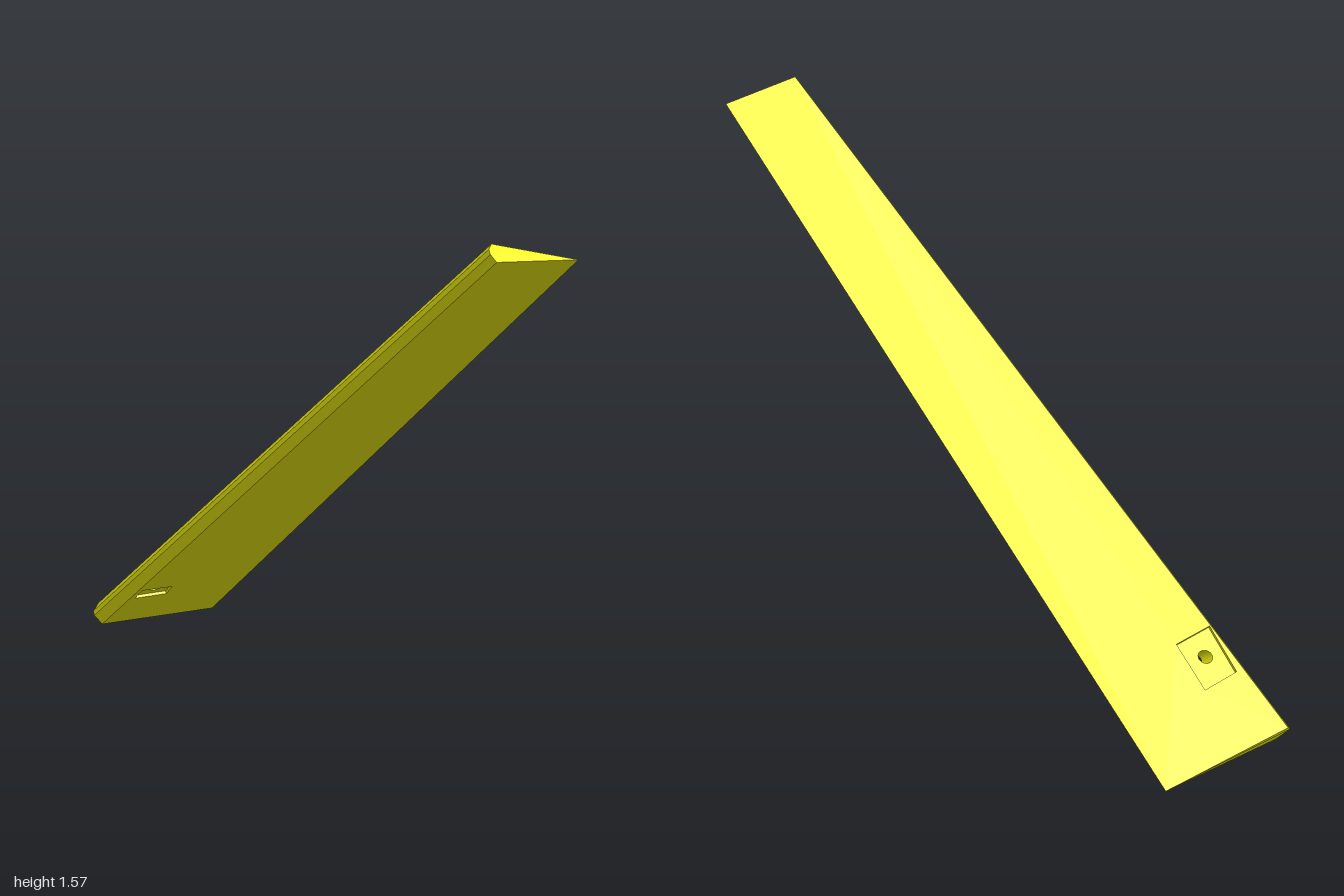
import * as THREE from 'three';

// Cross-sections, in order: trailing edge, upper shoulder, two nose edges, lower shoulder
const v = (x, y, z) => new THREE.Vector3(x, y, z);
const root = [v(0.003, 0, -1), v(-0.404, 0.07, -0.979), v(-0.426, 0.05, -0.96), v(-0.426, 0.038, -0.948), v(-0.403, 0.01, -0.93)];
const tip = [v(0.423, 1.515, 0.932), v(0.176, 1.571, 0.965), v(0.163, 1.561, 0.981), v(0.163, 1.55, 0.991), v(0.176, 1.532, 1)];

// Point on the upper (1) or lower (4) face: a runs along the chord, b along the span
function facePoint(side, a, b, depth = 0) {
  const p = root[side].clone().lerp(root[0], a).lerp(tip[side].clone().lerp(tip[0], a), b);
  const n = root[0].clone().sub(root[side]).cross(tip[side].clone().sub(root[side])).normalize();
  return p.addScaledVector(n, side === 1 ? depth : -depth);
}

const pts = (list) => list.map(([a, b]) => new THREE.Vector2(a, b));
const onFace = (side, outline, depth) => outline.map((p) => facePoint(side, p.x, p.y, depth));

// Circle of the bolt hole in face coordinates
const circle = (a, b) => Array.from({ length: 24 }, (_, i) => {
  const t = (i / 24) * Math.PI * 2;
  return new THREE.Vector2(a + 0.052 * Math.cos(t), b + 0.0079 * Math.sin(t));
});

function toMesh(name, triangles, material) {
  const geometry = new THREE.BufferGeometry().setFromPoints(triangles);
  geometry.computeVertexNormals();
  const mesh = new THREE.Mesh(geometry, material);
  mesh.name = name;
  return mesh;
}

const quad = (a, b, c, d) => [a, b, c, a, c, d];

// Flat outline with one hole, laid on a blade face
function patch(side, outline, hole, depth = 0) {
  const shape = new THREE.Shape(outline);
  shape.holes.push(new THREE.Path(hole));
  const flat = new THREE.ShapeGeometry(shape).toNonIndexed().attributes.position;
  const out = [];
  for (let i = 0; i < flat.count; i++) out.push(facePoint(side, flat.getX(i), flat.getY(i), depth));
  if (side === 1) out.reverse();
  return out;
}

// Inward-facing wall between two matching loops
function wall(upper, lower) {
  return upper.flatMap((p, i) => {
    const j = (i + 1) % upper.length;
    return quad(p, lower[i], lower[j], upper[j]);
  });
}

export function createModel() {
  const group = new THREE.Group();
  group.name = 'blade';
  const material = new THREE.MeshStandardMaterial({ color: 0xf0f010, flatShading: true });

  const whole = pts([[0, 0], [1, 0], [1, 1], [0, 1]]);
  const depth = 0.01;
  const faces = [
    { name: 'upper', side: 1, hole: circle(0.172, 0.111), pocket: pts([[0.057, 0.08], [0.34, 0.0775], [0.314, 0.137], [0.01, 0.139]]) },
    { name: 'lower', side: 4, hole: circle(0.19, 0.1158), pocket: pts([[0.048, 0.096], [0.33, 0.0975], [0.315, 0.1245], [0.036, 0.125]]) },
  ];

  // Broad faces, each with a shallow pocket
  for (const { name, side, hole, pocket } of faces) {
    group.add(toMesh(name + 'Face', patch(side, whole, pocket), material));
    const rim = onFace(side, pocket, 0);
    const floor = onFace(side, pocket, depth);
    const sides = side === 1 ? wall(rim, floor) : wall(floor, rim);
    group.add(toMesh(name + 'Pocket', [...patch(side, pocket, hole, depth), ...sides], material));
  }

  // Bolt hole joining the two pocket floors
  const rings = faces.map((f) => onFace(f.side, f.hole, depth));
  group.add(toMesh('boltHole', wall(rings[0], rings[1]), material));

  // Bevelled nose along the leading edge
  const nose = [1, 2, 3].flatMap((i) => quad(root[i], root[i + 1], tip[i + 1], tip[i]));
  group.add(toMesh('leadingEdge', nose, material));

  // End caps
  const fan = (loop) => [1, 2, 3].flatMap((i) => [loop[0], loop[i], loop[i + 1]]);
  group.add(toMesh('tipCap', fan(tip), material));
  group.add(toMesh('rootCap', fan(root).reverse(), material));
  return group;
}
